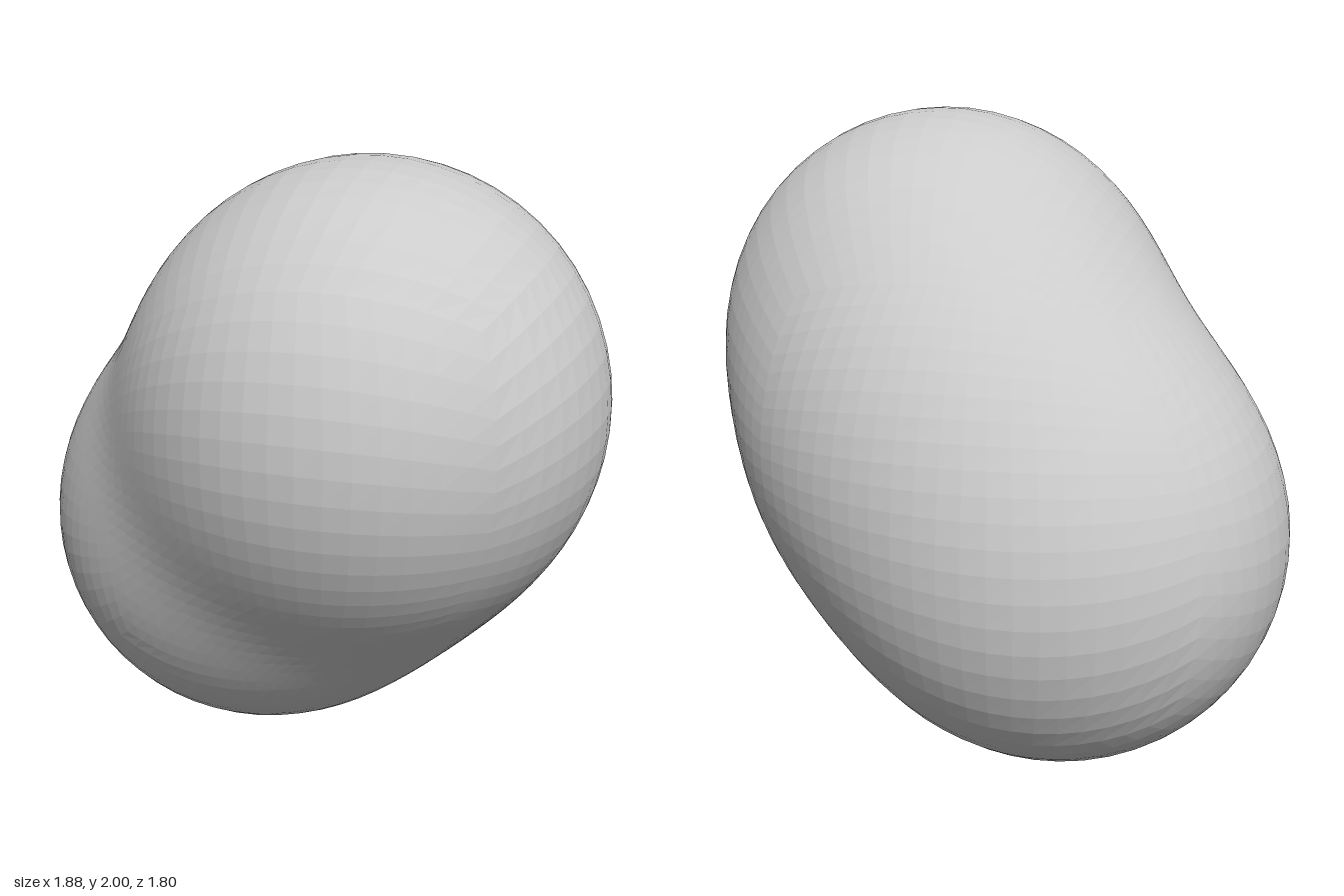
import * as THREE from 'three';

// Three melting balls: upper front, lower back, and a filler at the waist.
const balls = [
  { c: new THREE.Vector3(0.23, 1.293, 0.187), r: 0.693 },
  { c: new THREE.Vector3(-0.235, 0.707, -0.178), r: 0.693 },
  { c: new THREE.Vector3(0.105, 1.007, -0.139), r: 0.605 },
];

// Summed falloff of all balls; the skin lies where it equals 1.
const field = (p) =>
  balls.reduce((sum, b) => sum + Math.pow(b.r / Math.max(p.distanceTo(b.c), 0.01), 5), 0);

// Distance from the middle to the blended skin along one direction.
function skinDistance(origin, dir) {
  const p = new THREE.Vector3();
  let near = 0, far = 2;
  for (let i = 0; i < 26; i++) {
    const mid = (near + far) / 2;
    if (field(p.copy(origin).addScaledVector(dir, mid)) > 1) near = mid;
    else far = mid;
  }
  return near;
}

export function createModel() {
  const group = new THREE.Group();
  group.name = 'blendedBlob';

  // Subdivided cube pushed out to the skin, giving square facets.
  const n = 20;
  const geometry = new THREE.BoxGeometry(2, 2, 2, n, n, n);
  const pos = geometry.attributes.position;
  const origin = new THREE.Vector3(0, 1, 0);
  const dir = new THREE.Vector3();
  const even = (t) => Math.tan((t * Math.PI) / 4);
  for (let i = 0; i < pos.count; i++) {
    dir.set(even(pos.getX(i)), even(pos.getY(i)), even(pos.getZ(i))).normalize();
    const d = skinDistance(origin, dir);
    pos.setXYZ(i, origin.x + dir.x * d, origin.y + dir.y * d, origin.z + dir.z * d);
  }
  geometry.computeVertexNormals();

  const body = new THREE.Mesh(
    geometry,
    new THREE.MeshStandardMaterial({ color: 0xcccccc, flatShading: true })
  );
  body.name = 'body';
  group.add(body);
  return group;
}
